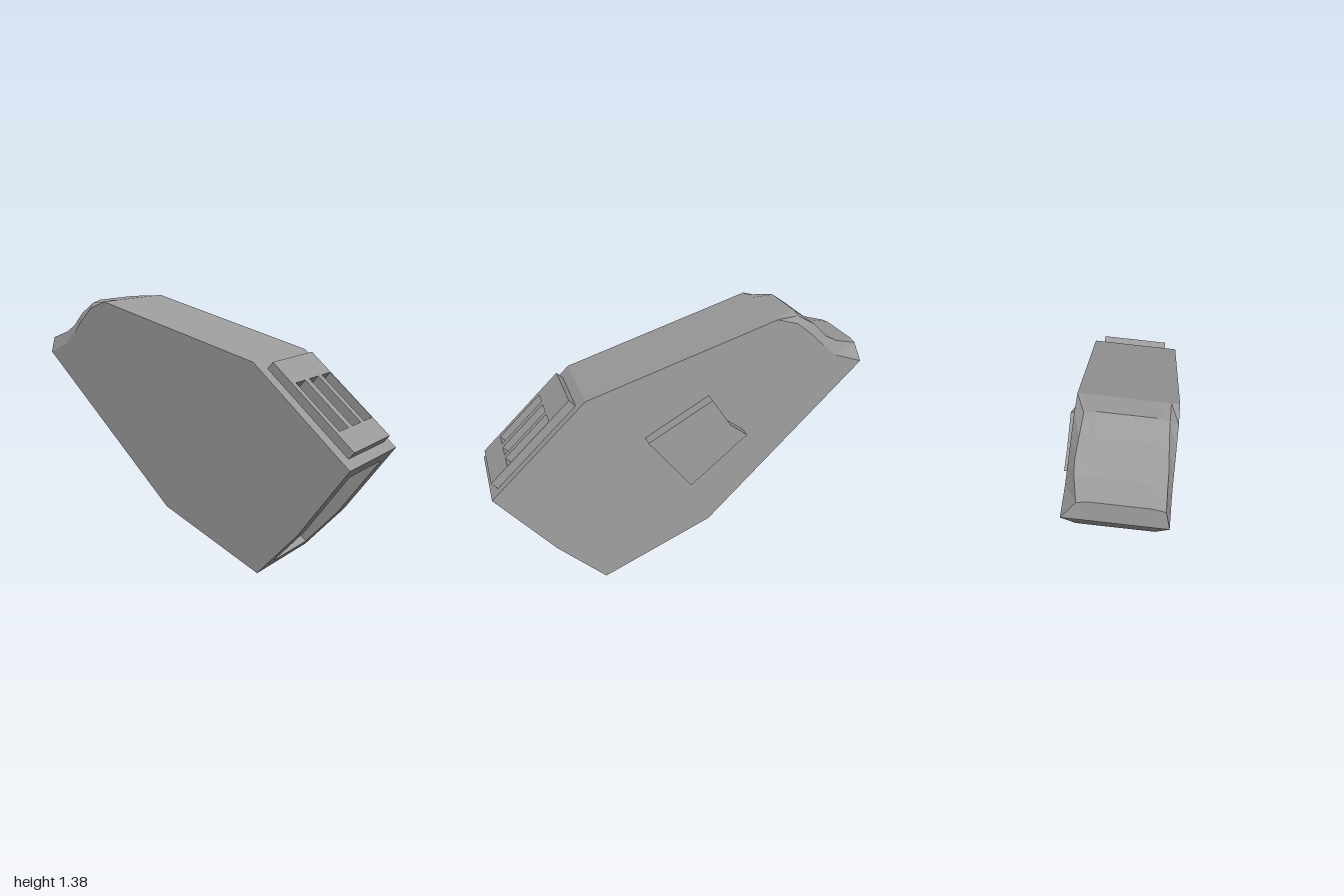
import * as THREE from 'three';

const H = 0.225; // half thickness of the slab
const mat = new THREE.MeshStandardMaterial({ color: 0x9a9a9a, flatShading: true });

// Side profile points as [z, y]
const A = [0.455, 0.024], M = [0.70, 0.275], B = [0.988, 0.64], C = [0.484, 1.097];
const D = [-0.507, 1.375], E = [-0.994, 1.081], F = [-0.14, 0.269];

const at = (x, [z, y]) => new THREE.Vector3(x, y, z);
const across = (p, h = H) => [at(-h, p), at(h, p)];

// Surface through rows of points
function grid(rows) {
  const pos = [];
  const tri = (...p) => p.forEach(v => pos.push(v.x, v.y, v.z));
  for (let i = 0; i + 1 < rows.length; i++) {
    for (let j = 0; j + 1 < rows[i].length; j++) {
      const a = rows[i][j], b = rows[i][j + 1], c = rows[i + 1][j], d = rows[i + 1][j + 1];
      if (!a.equals(b)) tri(a, b, c);
      if (!c.equals(d)) tri(b, d, c);
    }
  }
  const g = new THREE.BufferGeometry();
  g.setAttribute('position', new THREE.Float32BufferAttribute(pos, 3));
  g.computeVertexNormals();
  return g;
}

// Closed counter-clockwise loop around a low, middle and high profile point
function loop(low, mid, high, h) {
  return [at(-h, low), at(h, low), at(h, mid), at(h, high), at(-h, high), at(-h, mid), at(-h, low)];
}

function rect(x0, y0, x1, y1, Type = THREE.Shape) {
  return new Type([[x0, y0], [x1, y0], [x1, y1], [x0, y1]].map(p => new THREE.Vector2(...p)));
}

export function createModel() {
  const model = new THREE.Group();
  model.name = 'model';
  const add = (parent, name, geometry) => {
    const mesh = new THREE.Mesh(geometry, mat);
    mesh.name = name;
    parent.add(mesh);
    return mesh;
  };

  // The whole slab leans slightly sideways
  const slab = new THREE.Group();
  slab.name = 'slab';
  const X = new THREE.Vector3(1, 0.085, 0.04).normalize();
  const Z = X.clone().cross(new THREE.Vector3(0, 1, 0)).normalize();
  const Y = Z.clone().cross(X);
  slab.quaternion.setFromRotationMatrix(new THREE.Matrix4().makeBasis(X, Y, Z));
  slab.position.set(0.049, -0.003, 0.006);
  model.add(slab);

  // Rear end: [side edge, dished panel edge, left half width, right half width, crown]
  const rear = [
    [D, D, 0.187, 0.187, 0],
    [[-0.615, 1.34], [-0.638, 1.364], 0.185, 0.182, 0.013],
    [[-0.70, 1.27], [-0.73, 1.308], 0.19, 0.188, 0],
    [[-0.77, 1.20], [-0.80, 1.235], 0.2, 0.195, -0.006],
    [[-0.848, 1.135], [-0.86, 1.202], 0.2, 0.19, 0],
    [E, [-0.985, 1.163], 0.202, 0.165, 0.01],
    [E, E, 0.202, 0.165, 0],
  ];
  add(slab, 'rearEnd', grid(rear.map(([s, p, l, r, c]) => {
    const top = [p[0], p[1] + c];
    return [at(-H, s), at(-l, p), at(-0.7 * l, top), at(0.7 * r, top), at(r, p), at(H, s)];
  })));

  // Flat sides
  const outline = [A, M, B, C, ...rear.slice(0, 6).map(r => r[0]), F];
  for (const s of [1, -1]) {
    const shape = new THREE.Shape(outline.map(([z, y]) => new THREE.Vector2(-s * z, y)));
    const side = add(slab, s > 0 ? 'leftSide' : 'rightSide', new THREE.ShapeGeometry(shape));
    side.rotation.y = s * Math.PI / 2;
    side.position.x = s * H;
  }

  // Top and underside
  add(slab, 'topFace', grid([across(C), across(D)]));
  add(slab, 'underside', grid([across(E), across(F), across(A)]));

  // Lower front with a deep rectangular opening and a faintly raised floor
  const h = 0.153;
  const rim = loop([0.506, 0.076], M, [0.945, 0.586], h);
  const floor = loop([0.347, 0.208], [0.539, 0.413], [0.79, 0.71], h);
  add(slab, 'frontRim', grid([loop(A, M, B, H), rim]));
  add(slab, 'frontRecess', grid([rim, floor, floor.map(() => at(0, [0.555, 0.407]))]));

  // Sloping upper front: face and raised plate share three slots
  const slope = new THREE.Group();
  slope.name = 'upperFront';
  slope.position.set(0, B[1], B[0]);
  slope.rotation.x = -Math.atan2(B[0] - C[0], C[1] - B[1]);
  slab.add(slope);
  const length = Math.hypot(B[0] - C[0], C[1] - B[1]);
  const slots = [-0.138, -0.021, 0.092].map(x => rect(x, 0.175, x + 0.081, 0.482, THREE.Path));
  const face = rect(-H, 0, H, length);
  const plate = rect(-0.167, 0.053, 0.177, 0.625);
  face.holes.push(...slots);
  plate.holes.push(...slots);
  add(slope, 'slopeFace', new THREE.ShapeGeometry(face));
  const plateMesh = add(slope, 'slottedPlate',
    new THREE.ExtrudeGeometry(plate, { depth: 0.09, bevelEnabled: false }));
  plateMesh.position.z = -0.045;
  const slotFloor = add(slope, 'slotFloor', new THREE.PlaneGeometry(0.33, 0.34));
  slotFloor.position.set(0.01, 0.33, -0.044);

  // Raised badge on the left side
  const badge = new THREE.Shape(
    [[-0.143, 1.022], [0.197, 0.842], [-0.023, 0.547], [-0.333, 0.792], [-0.243, 0.862]]
      .map(([z, y]) => new THREE.Vector2(-z, y)));
  const badgeMesh = add(slab, 'sideBadge',
    new THREE.ExtrudeGeometry(badge, { depth: 0.07, bevelEnabled: false }));
  badgeMesh.rotation.y = Math.PI / 2;
  badgeMesh.position.x = H - 0.01;

  return model;
}
